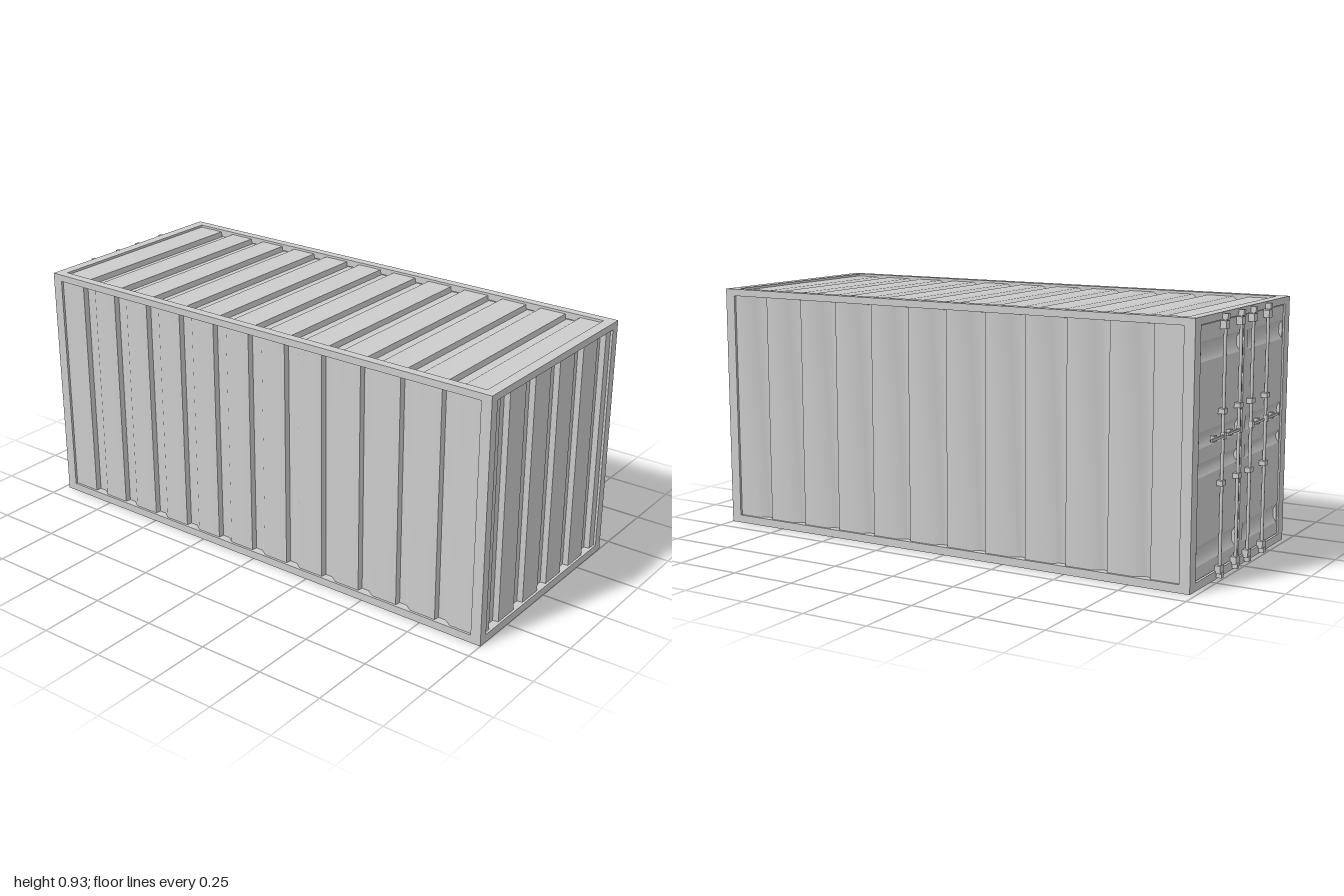
import * as THREE from 'three';
import { toCreasedNormals } from 'three/addons/utils/BufferGeometryUtils.js';

const material = new THREE.MeshStandardMaterial({ color: 0xcccccc, side: THREE.DoubleSide });
const W = 0.427, H = 0.928, BACK = -0.98, FRONT = 1;
const X = new THREE.Vector3(1, 0, 0), Y = new THREE.Vector3(0, 1, 0), Z = new THREE.Vector3(0, 0, 1);
const neg = (v) => v.clone().negate();

function add(parent, name, geometry, x = 0, y = 0, z = 0) {
  const mesh = new THREE.Mesh(geometry, material);
  mesh.name = name;
  mesh.position.set(x, y, z);
  parent.add(mesh);
  return mesh;
}

// Box given by its minimum and maximum corners
function boxBetween(parent, name, a, b) {
  const size = b.map((v, i) => v - a[i]);
  return add(parent, name, new THREE.BoxGeometry(...size), ...a.map((v, i) => v + size[i] / 2));
}

// Folded sheet: a profile of [along, depth] points swept from v0 to v1
function sheet(profile, v0, v1) {
  const pos = [], index = [];
  profile.forEach(([u, d], i) => {
    pos.push(u, v0, -d, u, v1, -d);
    if (i) { const k = i * 2; index.push(k - 2, k, k - 1, k - 1, k, k + 1); }
  });
  const g = new THREE.BufferGeometry();
  g.setAttribute('position', new THREE.Float32BufferAttribute(pos, 3));
  g.setIndex(index);
  return toCreasedNormals(g, 0.9);
}

// Profile with grooves: a steep step at each edge, a flat bottom and a gentle way out
function grooves(u0, u1, edges, dir, flat = 0.009, deep = 0.03) {
  const pts = [[u0, flat], [u1, flat]];
  for (const e of edges) {
    pts.push([e, flat], [e + dir * 0.003, deep], [e + dir * 0.032, deep], [e + dir * 0.062, flat]);
  }
  return pts.sort((a, b) => a[0] - b[0]);
}

function addSheet(parent, name, geometry, ax, ay, az, x, y, z) {
  geometry.applyMatrix4(new THREE.Matrix4().makeBasis(ax, ay, az));
  return add(parent, name, geometry, x, y, z);
}

function buildFrame(root) {
  const frame = new THREE.Group();
  frame.name = 'frame';
  root.add(frame);
  for (const s of [-1, 1]) {
    const [a, b] = s < 0 ? [-W, -0.392] : [0.392, W];
    boxBetween(frame, 'frontPost', [a, 0, 0.96], [b, H, FRONT]);
    boxBetween(frame, 'rearPost', [s < 0 ? -W : 0.38, 0, BACK], [s < 0 ? -0.38 : W, H, -0.94]);
    boxBetween(frame, 'topSideRail', [a, 0.902, -0.94], [b, H, 0.96]);
    boxBetween(frame, 'bottomSideRail', [a, 0, -0.94], [b, 0.03, 0.96]);
  }
  for (const [y0, y1] of [[0, 0.03], [0.902, H]]) {
    boxBetween(frame, 'frontCrossRail', [-0.392, y0, 0.96], [0.392, y1, FRONT]);
    boxBetween(frame, 'rearCrossRail', [-0.38, y0, BACK], [0.38, y1, -0.94]);
  }
}

function buildWalls(root) {
  const zEdges = Array.from({ length: 11 }, (_, i) => -0.83 + i * 0.1637);
  const xEdges = Array.from({ length: 5 }, (_, i) => -0.297 + i * 0.164);
  const along = grooves(-0.95, 0.97, zEdges, 1);
  const flipped = along.map(([u, d]) => [-u, d]).reverse();
  addSheet(root, 'frontWall', sheet(grooves(-0.4, 0.4, xEdges, -1), 0.02, 0.91), X, Y, Z, 0, 0, FRONT);
  addSheet(root, 'leftWall', sheet(flipped, 0.02, 0.91), neg(Z), Y, X, W, 0, 0);
  addSheet(root, 'rightWall', sheet(along, 0.02, 0.91), Z, Y, neg(X), -W, 0, 0);
  addSheet(root, 'roof', sheet(along, -0.4, 0.4), Z, X, Y, 0, H, 0);
  addSheet(root, 'floor', sheet(along, -0.4, 0.4), Z, neg(X), neg(Y), 0, 0, 0);
}

function rectangle(Type, x0, y0, x1, y1) {
  return new Type([[x0, y0], [x1, y0], [x1, y1], [x0, y1]].map((p) => new THREE.Vector2(...p)));
}

// Door leaf with pressed horizontal grooves
function buildDoor(root, s) {
  const door = new THREE.Group();
  door.name = s > 0 ? 'leftDoor' : 'rightDoor';
  root.add(door);
  const ribs = [[0.08, 0.15], [0.385, 0.435], [0.485, 0.54], [0.775, 0.845]];
  const [x0, x1] = s > 0 ? [0.005, 0.377] : [-0.377, -0.005];
  const [r0, r1] = s > 0 ? [0.035, 0.368] : [-0.368, -0.035];
  const leaf = rectangle(THREE.Shape, x0, 0.033, x1, 0.899);
  for (const [a, b] of ribs) {
    leaf.holes.push(rectangle(THREE.Path, r0, a, r1, b));
    const profile = [[a, 0], [a + 0.02, 0.012], [b - 0.02, 0.012], [b, 0]];
    addSheet(door, 'doorGroove', sheet(profile, r0, r1), Y, X, neg(Z), 0, 0, -0.975);
  }
  add(door, 'doorLeaf', new THREE.ExtrudeGeometry(leaf, { depth: 0.014, bevelEnabled: false }), 0, 0, -0.975);

  // Locking bars with their keepers, guides and handles
  for (const bx of [0.055, 0.195]) {
    const x = s * bx;
    add(door, 'lockingBar', new THREE.CylinderGeometry(0.006, 0.006, 0.9, 12), x, 0.465, -0.988);
    for (const y of [0.34, 0.59]) {
      add(door, 'barGuide', new THREE.BoxGeometry(0.03, 0.018, 0.022), x, y, -0.986);
    }
    for (const [y, end] of [[0.035, 0.015], [0.885, 0.913]]) {
      add(door, 'barKeeper', new THREE.BoxGeometry(0.032, 0.028, 0.022), x, y, -0.986);
      add(door, 'barCam', new THREE.BoxGeometry(0.018, 0.02, 0.02), x, end, -0.99);
    }
    add(door, 'handleHub', new THREE.BoxGeometry(0.018, 0.024, 0.016), x, 0.505, -0.99);
    add(door, 'handle', new THREE.BoxGeometry(0.112, 0.009, 0.006), x + s * 0.056, 0.505, -0.993);
    add(door, 'handleCatch', new THREE.BoxGeometry(0.022, 0.022, 0.016), x + s * 0.07, 0.505, -0.983);
  }
}

export function createModel() {
  const root = new THREE.Group();
  root.name = 'cargoContainer';
  buildFrame(root);
  buildWalls(root);
  // Backing behind the seam between the doors
  boxBetween(root, 'doorSeal', [-0.385, 0.025, -0.962], [0.385, 0.905, -0.95]);
  buildDoor(root, 1);
  buildDoor(root, -1);
  return root;
}
